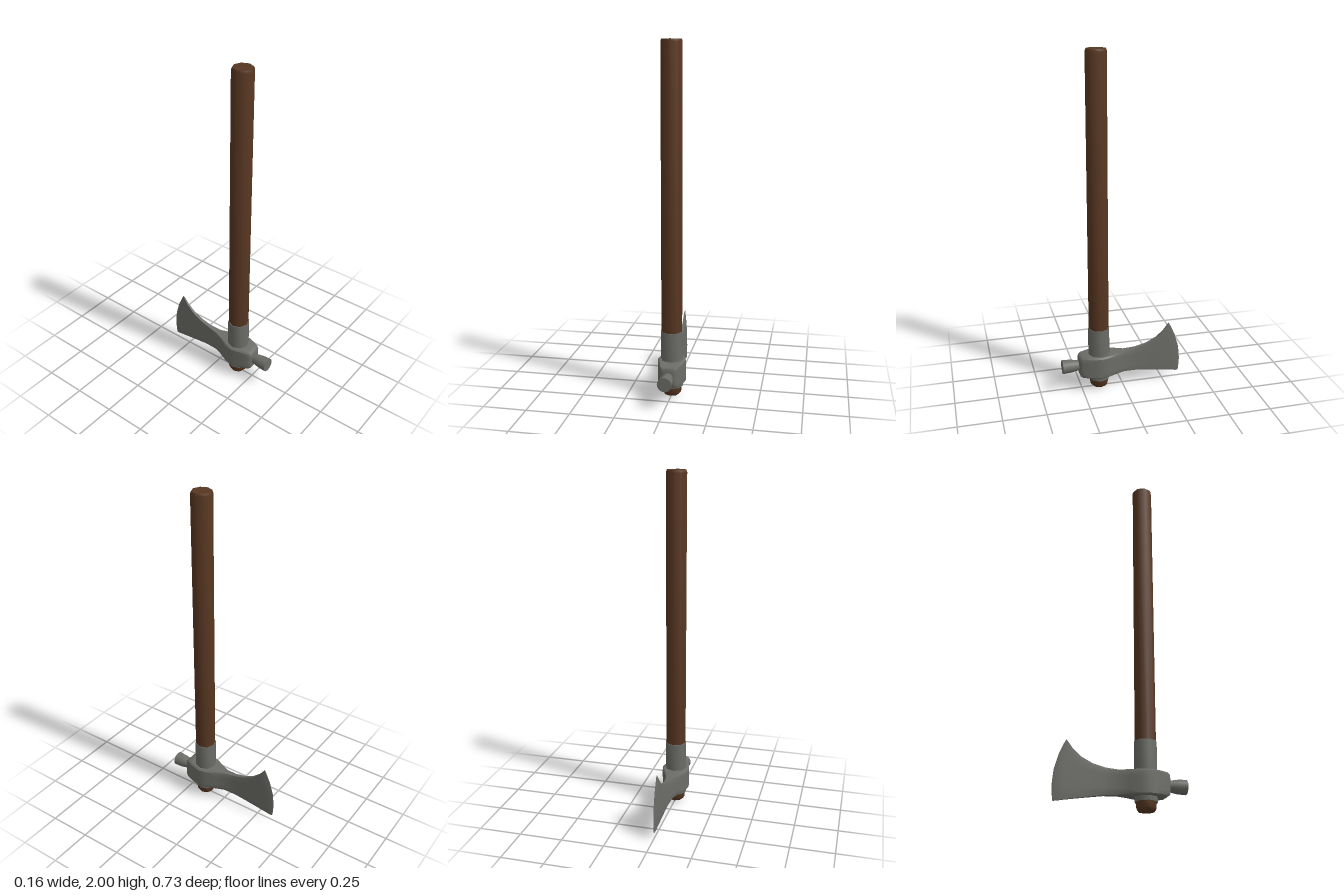
import * as THREE from 'three';
import { toCreasedNormals } from 'three/addons/utils/BufferGeometryUtils.js';

const EYE_Z = 0.142; // handle axis
const HEAD_Y = 0.15;

const steel = new THREE.MeshStandardMaterial({ name: 'greySteel', color: 0x6c6c68 });
const wood = new THREE.MeshStandardMaterial({ name: 'brownWood', color: 0x573621 });

function turned(name, points, sides, material) {
  const profile = points.map(([r, y]) => new THREE.Vector2(r, y));
  const geometry = toCreasedNormals(new THREE.LatheGeometry(profile, sides), 0.85);
  const mesh = new THREE.Mesh(geometry, material);
  mesh.name = name;
  return mesh;
}

// Head sections from poll to edge: half width, bottom z and y, top z and y, forward bulge
const SECTIONS = [
  [0.030, 0.268, 0.110, 0.268, 0.190, 0],
  [0.043, 0.262, 0.095, 0.262, 0.205, 0],
  [0.052, 0.248, 0.087, 0.248, 0.213, 0],
  [0.064, 0.210, 0.083, 0.210, 0.217, 0],
  [0.075, 0.175, 0.082, 0.175, 0.218, 0],
  [0.081, 0.140, 0.082, 0.140, 0.218, 0],
  [0.071, 0.095, 0.082, 0.095, 0.218, 0],
  [0.047, 0.045, 0.083, 0.045, 0.217, 0],
  [0.023, -0.012, 0.083, -0.010, 0.216, 0],
  [0.014, -0.090, 0.078, -0.080, 0.224, 0.003],
  [0.011, -0.170, 0.066, -0.150, 0.243, 0.008],
  [0.009, -0.240, 0.055, -0.210, 0.274, 0.016],
  [0.007, -0.300, 0.045, -0.255, 0.314, 0.024],
  [0.005, -0.337, 0.038, -0.279, 0.347, 0.029],
  [0.0008, -0.354, 0.035, -0.291, 0.364, 0.031],
];

function headGeometry() {
  const steps = [0, 0.06, 0.25, 0.5, 0.75, 0.94, 1];
  const n = steps.length * 2;
  const positions = [];
  const index = [];
  for (const [w, zb, yb, zt, yt, bulge] of SECTIONS) {
    const side = steps.map((t) => [
      t === 0 || t === 1 ? w * 0.88 : w,
      yb + (yt - yb) * t,
      zb + (zt - zb) * t - bulge * 4 * t * (1 - t),
    ]);
    for (const p of side) positions.push(...p);
    for (const [x, y, z] of [...side].reverse()) positions.push(-x, y, z);
  }
  // Skin between neighbouring sections
  for (let i = 0; i < SECTIONS.length - 1; i++) {
    for (let j = 0; j < n; j++) {
      const k = (j + 1) % n;
      const a = i * n + j, b = i * n + k, c = b + n, d = a + n;
      index.push(a, d, b, b, d, c);
    }
  }
  // Close the poll and the cutting edge
  const last = (SECTIONS.length - 1) * n;
  for (let j = 0; j < steps.length - 1; j++) {
    const a = j, b = j + 1, c = n - 2 - j, d = n - 1 - j;
    index.push(a, b, c, a, c, d);
    index.push(last + a, last + c, last + b, last + a, last + d, last + c);
  }
  const geometry = new THREE.BufferGeometry();
  geometry.setAttribute('position', new THREE.Float32BufferAttribute(positions, 3));
  geometry.setIndex(index);
  return toCreasedNormals(geometry, 0.7);
}

export function createModel() {
  const model = new THREE.Group();
  model.name = 'hatchet';

  // Eight-sided shaft with bevelled ends
  const handle = turned('handle', [
    [0, 0], [0.044, 0.008], [0.054, 0.022], [0.058, 0.055],
    [0.06, 0.1], [0.06, 1.988], [0.055, 2], [0, 2],
  ], 8, wood);
  handle.position.z = EYE_Z;
  model.add(handle);

  // Sleeve above the head, showing a short rim below it
  const sleeve = turned('sleeve', [
    [0.057, 0.057], [0.064, 0.057], [0.064, 0.385], [0.058, 0.385],
  ], 8, steel);
  sleeve.position.z = EYE_Z;
  model.add(sleeve);

  // Eye and flared blade
  const head = new THREE.Mesh(headGeometry(), steel);
  head.name = 'axeHead';
  model.add(head);

  // Round hammer poll
  const poll = turned('hammerPoll', [
    [0, 0], [0.029, 0], [0.031, 0.015], [0.036, 0.04],
    [0.039, 0.06], [0.041, 0.105], [0, 0.105],
  ], 16, steel);
  poll.rotation.x = Math.PI / 2;
  poll.position.set(0, HEAD_Y, 0.26);
  model.add(poll);

  return model;
}
